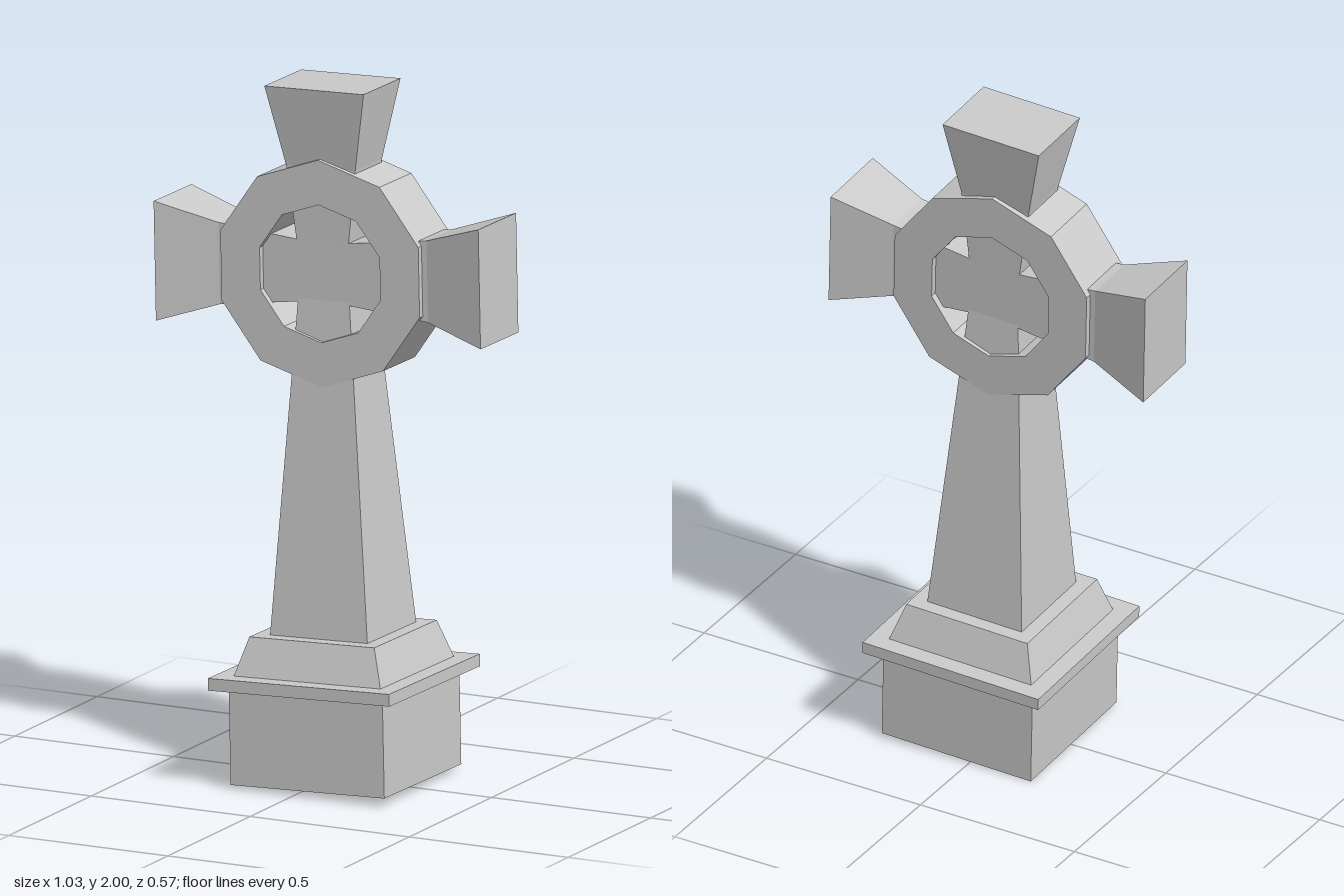
import * as THREE from 'three';

const stone = new THREE.MeshStandardMaterial({ color: 0xcccccc, flatShading: true });

// Square-sided block lofted upward through sections [y, halfX, halfZ]
function block(name, sections) {
  const n = sections.length - 1;
  const geo = new THREE.BoxGeometry(1, 1, 1, 1, n, 1);
  const p = geo.attributes.position;
  for (let i = 0; i < p.count; i++) {
    const [y, hx, hz] = sections[Math.round((p.getY(i) + 0.5) * n)];
    p.setXYZ(i, Math.sign(p.getX(i)) * hx, y, Math.sign(p.getZ(i)) * hz);
  }
  geo.computeVertexNormals();
  const mesh = new THREE.Mesh(geo, stone);
  mesh.name = name;
  return mesh;
}

// Ten corners, one pointing straight up
function decagon(radius) {
  return Array.from({ length: 10 }, (_, i) => {
    const a = Math.PI / 2 + (i * Math.PI) / 5;
    return new THREE.Vector2(radius * Math.cos(a), radius * Math.sin(a));
  });
}

export function createModel() {
  const monument = new THREE.Group();
  monument.name = 'leaningCross';

  // Stepped pedestal
  monument.add(block('base', [[0, 0.24, 0.24], [0.28, 0.24, 0.24]]));
  monument.add(block('ledge', [[0.275, 0.283, 0.283], [0.31, 0.283, 0.283]]));
  monument.add(block('plinth', [[0.31, 0.229, 0.229], [0.418, 0.195, 0.195]]));

  // Tapering shaft, up to the crossing
  const centre = 1.452;
  monument.add(block('shaft', [[0.418, 0.152, 0.152], [centre - 0.08, 0.08, 0.08], [centre + 0.08, 0.08, 0.08]]));

  // Flared top and side arms
  const head = new THREE.Group();
  head.name = 'crossHead';
  head.position.y = centre;
  head.add(block('topArm', [[0.08, 0.08, 0.08], [0.3, 0.108, 0.083], [0.528, 0.155, 0.115]]));
  for (const [name, side] of [['leftArm', 1], ['rightArm', -1]]) {
    const arm = block(name, [[0.07, 0.088, 0.08], [0.325, 0.117, 0.08], [0.507, 0.171, 0.118]]);
    arm.rotation.z = -side * Math.PI / 2;
    head.add(arm);
  }

  // Ten-sided ring
  const outline = new THREE.Shape(decagon(0.325));
  outline.holes.push(new THREE.Path(decagon(0.197)));
  const ringGeo = new THREE.ExtrudeGeometry(outline, { depth: 0.2, bevelEnabled: false });
  ringGeo.translate(0, 0, -0.1);
  const ring = new THREE.Mesh(ringGeo, stone);
  ring.name = 'ring';
  head.add(ring);
  monument.add(head);

  // The whole stone leans slightly
  monument.position.set(0.044, 0.0135, 0.004);
  monument.rotation.set(-0.0225, 0.014, 0.033);

  const model = new THREE.Group();
  model.name = 'stoneCross';
  model.add(monument);
  return model;
}
